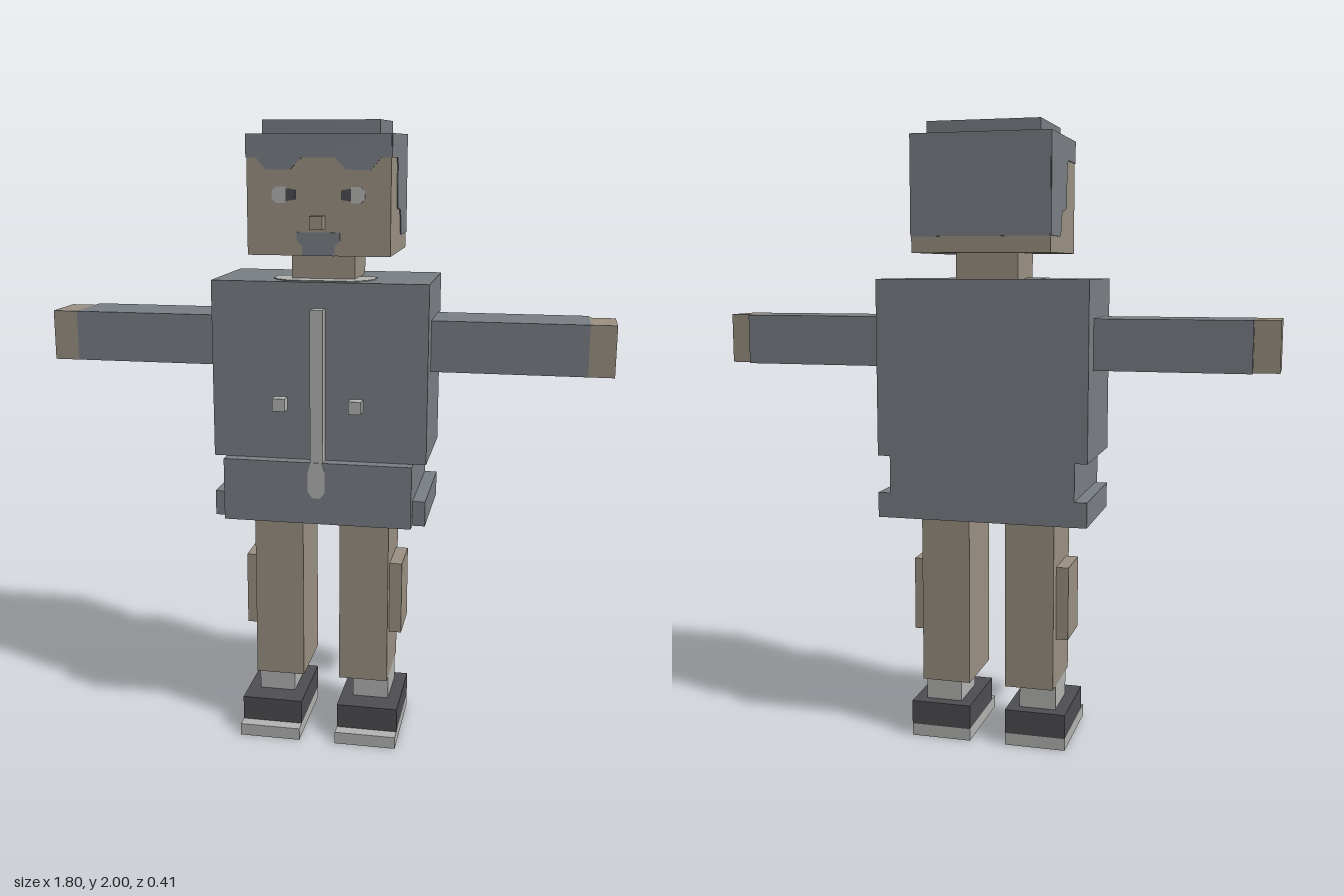
import * as THREE from 'three';

const mat = (name, color) => {
  const m = new THREE.MeshStandardMaterial({ color });
  m.name = name;
  return m;
};

export function createModel() {
  const tan = mat('tan', 0x9c9284);
  const slate = mat('slate', 0x7b8086);
  const light = mat('lightGrey', 0xb5b5b4);
  const dark = mat('charcoal', 0x4e4e53);

  const model = new THREE.Group();
  model.name = 'blockyFigure';

  // Box from its min and max corners
  function box(name, material, [x0, x1], [y0, y1], [z0, z1], parent = model) {
    const mesh = new THREE.Mesh(new THREE.BoxGeometry(x1 - x0, y1 - y0, z1 - z0), material);
    mesh.position.set((x0 + x1) / 2, (y0 + y1) / 2, (z0 + z1) / 2);
    mesh.name = name;
    parent.add(mesh);
    return mesh;
  }

  // Thin painted plate, drawn in its own xy plane and facing +z
  const PLATE = 0.003;
  function plate(name, material, points, parent) {
    const shape = new THREE.Shape(points.map(([x, y]) => new THREE.Vector2(x, y)));
    const geo = new THREE.ExtrudeGeometry(shape, { depth: PLATE, bevelEnabled: false });
    const mesh = new THREE.Mesh(geo, material);
    mesh.name = name;
    parent.add(mesh);
    return mesh;
  }

  // Outline that is symmetric in x, from its right half
  const mirrored = (half) => [...half, ...half.map(([x, y]) => [-x, y]).reverse()];

  // Head, with the crown in the hair colour
  const head = new THREE.Group();
  head.name = 'head';
  model.add(head);
  box('skull', [tan, tan, slate, tan, tan, tan], [-0.22, 0.22], [1.6, 1.96], [-0.2, 0.16], head);
  box('hairTop', slate, [-0.18, 0.18], [1.96, 2], [-0.16, 0.12], head);
  box('nose', tan, [-0.02, 0.02], [1.68, 1.72], [0.16, 0.2], head);
  box('neck', tan, [-0.1, 0.1], [1.52, 1.6], [-0.12, 0.08], head);

  // Hairline and beard
  plate('fringe', slate, mirrored([
    [0.05, 1.89], [0.085, 1.855], [0.16, 1.855], [0.19, 1.89], [0.22, 1.89], [0.22, 1.96],
  ]), head).position.z = 0.16;
  plate('beard', slate, mirrored([
    [0.05, 1.6], [0.05, 1.63], [0.066, 1.645], [0.066, 1.67],
  ]), head).position.z = 0.16;
  const backHair = plate('backHair', slate, mirrored([[0.22, 1.65], [0.22, 1.96]]), head);
  backHair.rotation.y = Math.PI;
  backHair.position.z = -0.2;

  // Side hair outline as (z, y)
  const sideHair = [
    [0.16, 1.96], [0.16, 1.89], [0.045, 1.89], [0.028, 1.87], [0.028, 1.75], [0.012, 1.735],
    [-0.035, 1.73], [-0.053, 1.705], [-0.053, 1.67], [-0.07, 1.65], [-0.2, 1.65], [-0.2, 1.96],
  ];

  // Jacket body, hem and front fastening
  const jacket = new THREE.Group();
  jacket.name = 'jacket';
  model.add(jacket);
  box('torso', slate, [-0.34, 0.34], [0.96, 1.52], [-0.2, 0.16], jacket);
  box('hem', slate, [-0.3, 0.3], [0.76, 0.96], [-0.2, 0.2], jacket);
  box('zip', light, [-0.02, 0.02], [0.96, 1.44], [0.16, 0.2], jacket);
  plate('zipEnd', light, mirrored([
    [0.012, 0.845], [0.027, 0.865], [0.027, 0.93], [0.018, 0.96],
  ]), jacket).position.z = 0.2;

  // Shirt collar lying on the shoulders
  const collar = plate('collar', light, mirrored([
    [0.16, 0], [0.16, -0.07], [0.14, -0.11], [0.1, -0.14],
  ]), jacket);
  collar.rotation.x = -Math.PI / 2;
  collar.position.y = 1.52;

  // Everything that comes in pairs
  for (const s of [1, -1]) {
    const side = s > 0 ? 'left' : 'right';
    const span = (a, b) => (s > 0 ? [a, b] : [-b, -a]);

    // Eyes
    plate(side + 'EyeWhite', light, [
      [0.1, 1.757], [0.13, 1.757], [0.143, 1.77], [0.143, 1.792], [0.13, 1.805], [0.1, 1.805],
    ].map(([x, y]) => [s * x, y]), head).position.z = 0.16;
    plate(side + 'Pupil', dark, [
      [0.07, 1.767], [0.1, 1.762], [0.1, 1.8], [0.07, 1.795],
    ].map(([x, y]) => [s * x, y]), head).position.z = 0.16;

    // Side hair
    const hair = plate(side + 'SideHair', slate, sideHair.map(([z, y]) => [-s * z, y]), head);
    hair.rotation.y = s * Math.PI / 2;
    hair.position.x = s * 0.22;

    // Jacket details
    box(side + 'HemTab', slate, span(0.3, 0.34), [0.76, 0.84], [-0.2, 0.16], jacket);
    box(side + 'Toggle', light, span(0.1, 0.14), [1.12, 1.16], [0.16, 0.2], jacket);

    // Arm
    const arm = new THREE.Group();
    arm.name = side + 'Arm';
    model.add(arm);
    box('sleeve', slate, span(0.34, 0.82), [1.24, 1.4], [-0.12, 0.08], arm);
    box('hand', tan, span(0.82, 0.9), [1.24, 1.4], [-0.08, 0.08], arm);

    // Leg
    const leg = new THREE.Group();
    leg.name = side + 'Leg';
    model.add(leg);
    box('trouserLeg', tan, span(0.06, 0.22), [0.2, 0.76], [-0.12, 0.12], leg);
    box('sidePocket', tan, span(0.22, 0.26), [0.36, 0.6], [-0.08, 0.08], leg);
    box('sock', light, span(0.1, 0.22), [0.12, 0.2], [-0.08, 0.08], leg);
    box('shoe', dark, span(0.06, 0.26), [0.04, 0.12], [-0.12, 0.16], leg);
    box('sole', light, span(0.06, 0.26), [0, 0.04], [-0.12, 0.2], leg);
  }

  return model;
}
